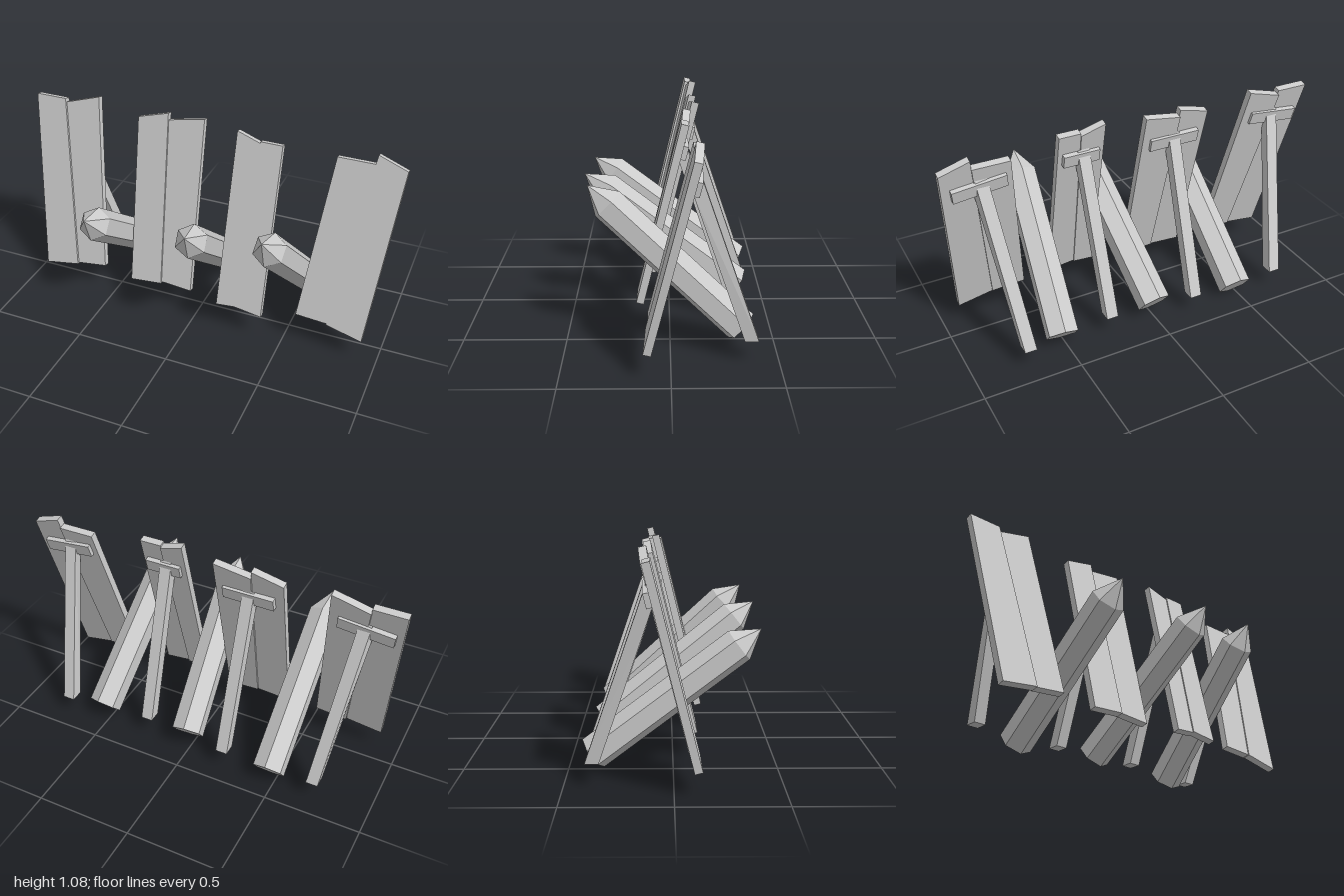
import * as THREE from 'three';
import { ConvexGeometry } from 'three/addons/geometries/ConvexGeometry.js';

const wood = new THREE.MeshStandardMaterial({ color: 0xcccccc, flatShading: true });
const SLOPE = 0.245; // backward lean of the planks
const normal = new THREE.Vector3(0, SLOPE, 1).normalize();

function addMesh(parent, name, geometry) {
  const mesh = new THREE.Mesh(geometry, wood);
  mesh.name = name;
  parent.add(mesh);
  return mesh;
}

// Board on the leaning plane: four [x, y] corners, between two depths behind it
function board(corners, z0, near, far) {
  const points = [];
  for (const [x, y] of corners) {
    const p = new THREE.Vector3(x, y, z0 - SLOPE * (y - 0.118));
    for (const d of [near, far]) points.push(p.clone().addScaledVector(normal, -d));
  }
  return new ConvexGeometry(points);
}

// Skewed strut, flat on the ground end and cut along the planks at the top
function brace(xBottom, xTop, dz) {
  const points = [];
  for (const s of [-0.031, 0.031]) {
    points.push(
      new THREE.Vector3(xBottom + s, 0.105, -0.405 + dz),
      new THREE.Vector3(xBottom + s, 0.105, -0.34 + dz),
      new THREE.Vector3(xTop + s, 0.94, -0.12 + dz),
      new THREE.Vector3(xTop + s, 0.845, -0.09 + dz));
  }
  return new ConvexGeometry(points);
}

// Tilted batten rectangle
function battenCorners(cx, cy, length, height, angle) {
  const c = Math.cos(angle), s = Math.sin(angle);
  return [[-1, -1], [1, -1], [1, 1], [-1, 1]].map(([i, j]) => {
    const u = i * length / 2, v = j * height / 2;
    return [cx + u * c - v * s, cy + u * s + v * c];
  });
}

// Each panel: two planks (corners from top left, clockwise) with small depth steps
const panels = [
  { z: 0.127, steps: [0, 0.012], bar: [-0.81, 0.28, 0.12], brace: [-0.707, -0.805],
    planks: [[[-1, 1.05], [-0.83, 1.05], [-0.71, 0.15], [-0.9, 0.12]],
      [[-0.83, 1.03], [-0.64, 1.087], [-0.545, 0.175], [-0.71, 0.155]]] },
  { z: 0.127, steps: [0, 0.01], bar: [-0.215, 0.27, 0], brace: [-0.21, -0.215],
    planks: [[[-0.4, 1.03], [-0.235, 1.075], [-0.2, 0.16], [-0.375, 0.145]],
      [[-0.235, 1.04], [-0.04, 1.075], [-0.03, 0.155], [-0.2, 0.167]]] },
  { z: 0.173, steps: [0.006, 0], bar: [0.275, 0.19, 0], brace: [0.255, 0.262],
    planks: [[[0.155, 1.075], [0.28, 1.035], [0.25, 0.165], [0.14, 0.155]],
      [[0.28, 1.045], [0.395, 1.045], [0.39, 0.148], [0.247, 0.167]]] },
  { z: 0.127, steps: [0.006, 0], bar: [0.81, 0.27, -0.12], brace: [0.72, 0.8],
    planks: [[[0.655, 1.02], [0.845, 1.02], [0.735, 0.168], [0.56, 0.178]],
      [[0.85, 1.067], [1, 1.015], [0.915, 0.122], [0.725, 0.165]]] },
];

// Sharpened stakes: centre of the rear end, then the tip
const stakes = [
  [[-0.467, 0.072, -0.383], [-0.467, 0.678, 0.415]],
  [[0.012, 0.107, -0.35], [0.082, 0.727, 0.428]],
  [[0.528, 0.085, -0.34], [0.452, 0.768, 0.388]],
];

export function createModel() {
  const model = new THREE.Group();
  model.name = 'barricade';

  for (const panel of panels) {
    const group = new THREE.Group();
    group.name = 'plankPanel';
    model.add(group);
    panel.planks.forEach((corners, i) => {
      const d = panel.steps[i];
      addMesh(group, 'plank', board(corners, panel.z, d, d + 0.038));
    });
    const [cx, length, angle] = panel.bar;
    const bar = battenCorners(cx, 0.91, length, 0.065, angle);
    addMesh(group, 'backBatten', board(bar, panel.z, 0.035, 0.064));
    addMesh(group, 'backBrace', brace(...panel.brace, panel.z - 0.127));
  }

  for (const [rear, tip] of stakes) {
    const start = new THREE.Vector3(...rear), end = new THREE.Vector3(...tip);
    const length = start.distanceTo(end), r = 0.086;
    const profile = [[0, 0], [r, 0], [r, length - 0.13], [0, length]]
      .map(([x, y]) => new THREE.Vector2(x, y));
    const geometry = new THREE.LatheGeometry(profile, 6).rotateX(Math.PI / 2);
    const stake = addMesh(model, 'stake', geometry);
    stake.position.copy(start);
    stake.lookAt(end);
  }
  return model;
}
